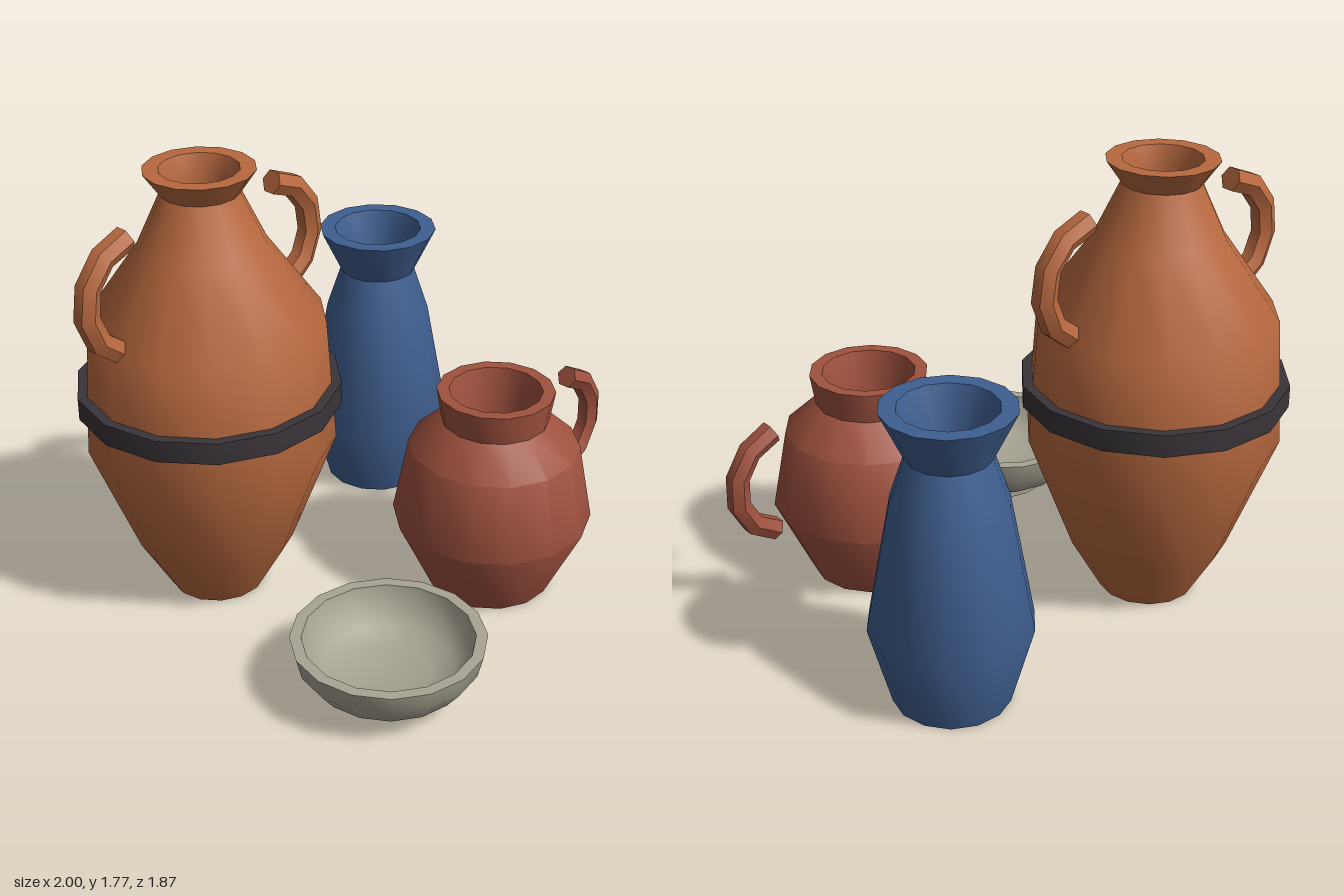
import * as THREE from 'three';
import { toCreasedNormals } from 'three/addons/utils/BufferGeometryUtils.js';

const CREASE = 0.7;
const paint = (color) => new THREE.MeshStandardMaterial({ color });
const CLAY = paint(0xb8693f);
const RED_CLAY = paint(0xa0523f);
const BLUE = paint(0x3f5f90);
const STONE = paint(0xa8a494);
const IRON = paint(0x393438);

// Turned vessel: [radius, height] pairs, outside upwards then inside downwards
function turned(name, profile, sides, material) {
  const points = profile.map(([r, y]) => new THREE.Vector2(r, y));
  const geometry = new THREE.LatheGeometry(points, sides, Math.PI / 2);
  const mesh = new THREE.Mesh(toCreasedNormals(geometry, CREASE), material);
  mesh.name = name;
  return mesh;
}

// Six-sided bar swept along an arc (degrees) in the xy plane, bulging to +x
function handle(name, cx, cy, radius, from, to, thickness, material) {
  const steps = 5;
  const path = [];
  for (let i = 0; i <= steps; i++) {
    const a = THREE.MathUtils.degToRad(from + ((to - from) * i) / steps);
    path.push(new THREE.Vector3(cx + radius * Math.cos(a), cy + radius * Math.sin(a), 0));
  }
  const section = [];
  for (let i = 0; i < 6; i++) {
    const a = (i * Math.PI) / 3;
    section.push(new THREE.Vector2(thickness * Math.cos(a), thickness * Math.sin(a)));
  }
  const geometry = new THREE.ExtrudeGeometry(new THREE.Shape(section), {
    steps,
    bevelEnabled: false,
    extrudePath: new THREE.CatmullRomCurve3(path),
  });
  const mesh = new THREE.Mesh(toCreasedNormals(geometry, CREASE), material);
  mesh.name = name;
  return mesh;
}

function place(name, x, z, ...parts) {
  const group = new THREE.Group();
  group.name = name;
  group.position.set(x, 0, z);
  group.add(...parts);
  return group;
}

export function createModel() {
  const model = new THREE.Group();
  model.name = 'potteryGroup';

  // Tall two-handled jar with an iron band
  const jarBody = turned('jarBody', [
    [0, 0], [0.188, 0], [0.308, 0.21], [0.487, 0.68], [0.455, 1.17], [0.245, 1.47],
    [0.148, 1.68], [0.21, 1.77], [0.15, 1.77], [0.115, 1.68], [0.13, 1.58], [0, 1.55],
  ], 14, CLAY);
  const jarBand = turned('jarBand', [
    [0.46, 0.828], [0.51, 0.828], [0.51, 0.915], [0.46, 0.915], [0.46, 0.828],
  ], 14, IRON);
  const leftHandle = handle('leftHandle', 0.325, 1.387, 0.225, -67, 83, 0.048, CLAY);
  const rightHandle = handle('rightHandle', 0.325, 1.387, 0.225, -67, 83, 0.048, CLAY);
  rightHandle.rotation.y = Math.PI;
  model.add(place('tallJar', -0.41, -0.437, jarBody, jarBand, leftHandle, rightHandle));

  // Slender vase with a flared mouth
  const vaseBody = turned('vaseBody', [
    [0, 0], [0.218, 0], [0.303, 0.31], [0.214, 0.8], [0.155, 0.978], [0.242, 1.16],
    [0.18, 1.16], [0.11, 0.98], [0.108, 0.88], [0, 0.88],
  ], 14, BLUE);
  model.add(place('vase', 0.655, -0.56, vaseBody));

  // Round jug with a single handle
  const jugBody = turned('jugBody', [
    [0, 0], [0.245, 0], [0.393, 0.31], [0.335, 0.62], [0.21, 0.735], [0.23, 0.857],
    [0.182, 0.857], [0.15, 0.735], [0.146, 0.62], [0, 0.62],
  ], 14, RED_CLAY);
  const jugHandle = handle('jugHandle', 0.398, 0.527, 0.216, -75, 77, 0.045, RED_CLAY);
  model.add(place('jug', 0.353, 0.355, jugBody, jugHandle));

  // Shallow footed bowl
  const bowlBody = turned('bowlBody', [
    [0, 0], [0.182, 0], [0.182, 0.04], [0.22, 0.045], [0.288, 0.086], [0.342, 0.158],
    [0.363, 0.245], [0.32, 0.245], [0.3, 0.17], [0.245, 0.11], [0.16, 0.08], [0, 0.07],
  ], 16, STONE);
  model.add(place('bowl', -0.473, 0.57, bowlBody));

  return model;
}
